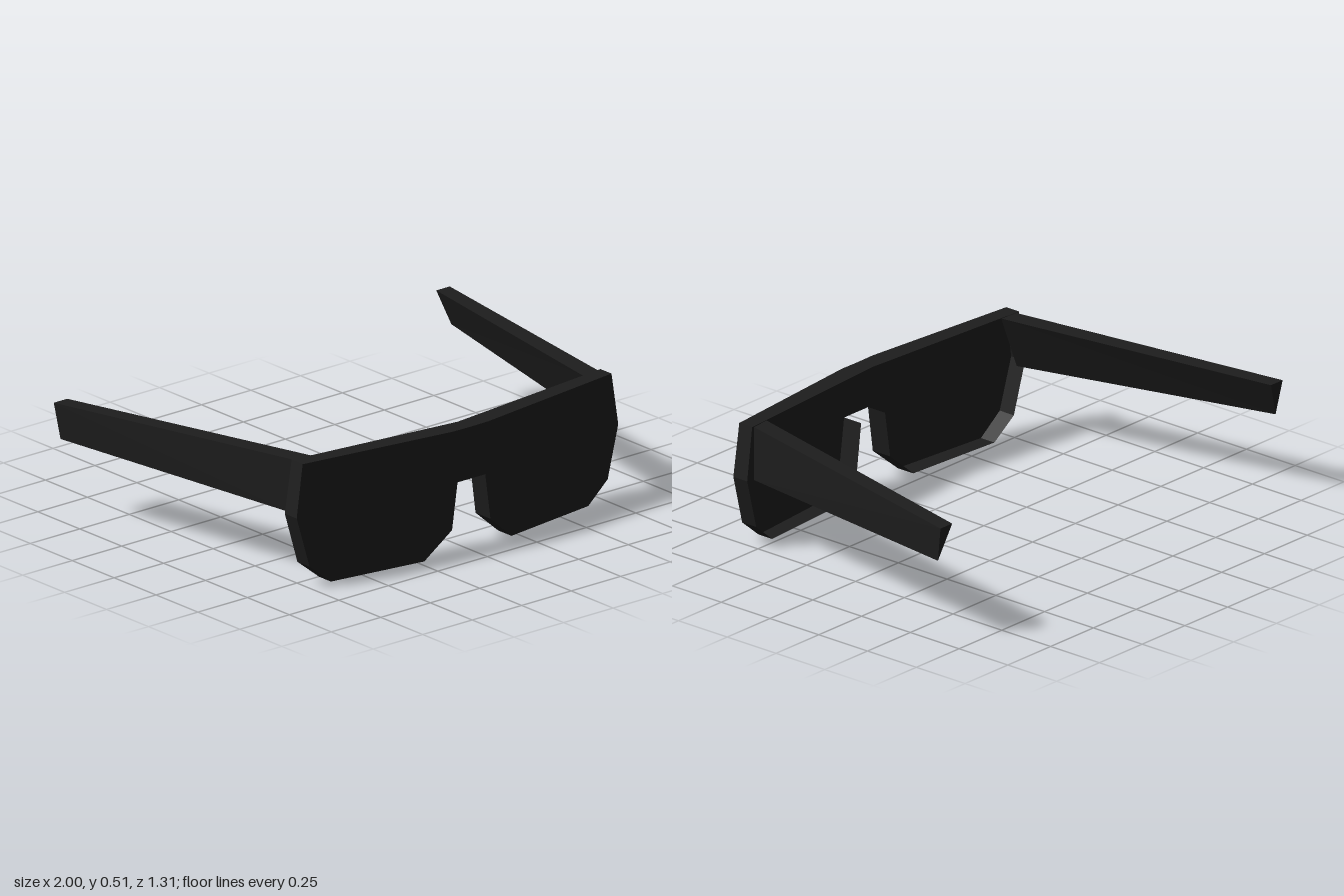
import * as THREE from 'three';

const black = new THREE.MeshStandardMaterial({ color: 0x1d1d1d, side: THREE.DoubleSide });
black.name = 'matte black';

// Faceted mesh from convex polygons (corners counter-clockwise seen from outside).
// side -1 mirrors it across x = 0.
function facets(name, polygons, side) {
  const pos = [];
  for (const poly of polygons) {
    for (let i = 1; i < poly.length - 1; i++) {
      const tri = side > 0 ? [poly[0], poly[i], poly[i + 1]] : [poly[0], poly[i + 1], poly[i]];
      for (const [x, y, z] of tri) pos.push(x * side, y, z);
    }
  }
  const geo = new THREE.BufferGeometry();
  geo.setAttribute('position', new THREE.Float32BufferAttribute(pos, 3));
  geo.computeVertexNormals();
  const mesh = new THREE.Mesh(geo, black);
  mesh.name = name;
  return mesh;
}

// Walls joining a front loop to a back loop, from point `from` to point `to`
function walls(front, back, from, to) {
  const quads = [];
  for (let i = from; i < to; i++) {
    const j = (i + 1) % front.length;
    quads.push([front[i], back[i], back[j], front[j]]);
  }
  return quads;
}

// Half outline of the frame: nose bridge, lens underside, outer edge, brow
const outline = [
  [0, 0.295], [0.07, 0.295], [0.097, 0.105], [0.22, 0], [0.65, 0.006],
  [0.753, 0.09], [0.812, 0.3], [0.78, 0.515], [0.09, 0.506], [0, 0.505],
];

// Front face sweeps back and leans in a little towards brow and underside
const frontZ = (x, y) =>
  0.655 - 0.115 * Math.max(0, x - 0.09) - (y > 0.5 ? 0.006 : 0) - (y < 0.05 ? 0.006 : 0);
const backZ = (x) => 0.574 - 0.09 * x;

export function createModel() {
  const group = new THREE.Group();
  group.name = 'sunglasses';

  const front = outline.map(([x, y]) => [x, y, frontZ(x, y)]);
  const back = outline.map(([x, y]) => [x, y, backZ(x)]);

  // Temple ends: lower outer, upper outer and upper inner corner
  const hinge = [[0.768, 0.291, 0.505], [0.768, 0.512, 0.505], [0.686, 0.512, 0.512]];
  const tip = [[0.987, 0.33, -0.63], [1, 0.475, -0.655], [0.932, 0.475, -0.655]];

  for (const side of [1, -1]) {
    const label = side > 0 ? 'left' : 'right';

    // Lens and half of the bridge, one swept-back sheet
    group.add(facets(label + 'Lens', [
      [0, 1, 8, 9].map((i) => front[i]),
      front.slice(1, 9),
    ], side));

    // Rim running back from the lens edge, open behind and under the bridge
    group.add(facets(label + 'Rim', walls(front, back, 1, outline.length - 1), side));

    // Tapered temple arm of triangular section
    group.add(facets(label + 'Temple',
      [hinge, [...tip].reverse(), ...walls(hinge, tip, 0, 3)], side));
  }
  return group;
}
